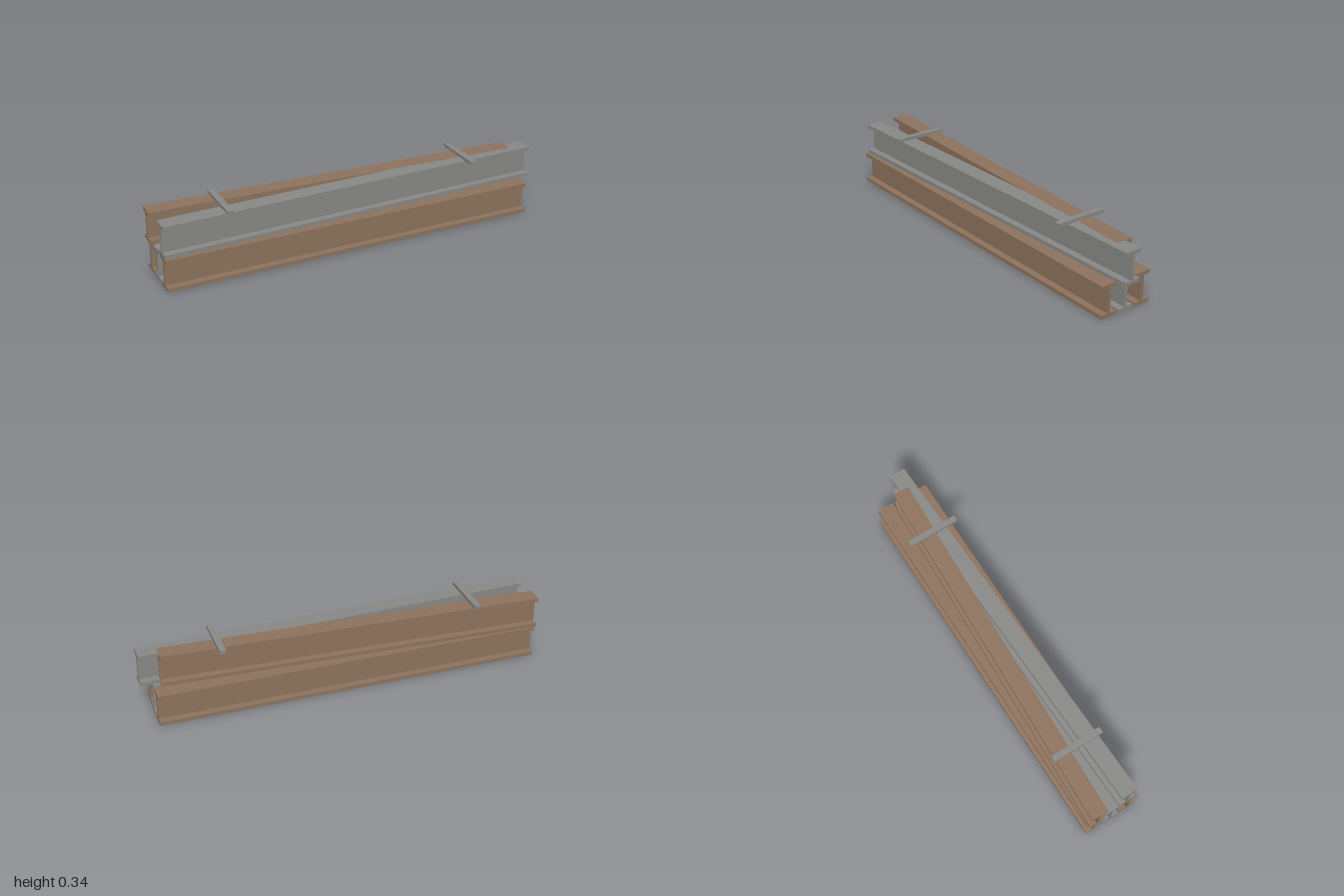
import * as THREE from 'three';

const WIDTH = 0.085, HEIGHT = 0.161, FLANGE = 0.018, WEB = 0.015;

// I-shaped cross-section, standing on y = 0
function beamProfile() {
  const w = WIDTH / 2, t = WEB / 2, top = HEIGHT - FLANGE;
  return new THREE.Shape([
    [-w, 0], [w, 0], [w, FLANGE], [t, FLANGE], [t, top], [w, top],
    [w, HEIGHT], [-w, HEIGHT], [-w, top], [-t, top], [-t, FLANGE], [-w, FLANGE],
  ].map(([x, y]) => new THREE.Vector2(x, y)));
}

// Beam between two end points given in plan as [x, z]
function makeBeam(name, material, [x0, z0], [x1, z1], y) {
  const length = Math.hypot(x1 - x0, z1 - z0);
  const geometry = new THREE.ExtrudeGeometry(beamProfile(), { depth: length, bevelEnabled: false });
  geometry.translate(0, 0, -length / 2);
  const beam = new THREE.Mesh(geometry, material);
  beam.name = name;
  beam.position.set((x0 + x1) / 2, y, (z0 + z1) / 2);
  beam.rotation.y = Math.atan2(x1 - x0, z1 - z0);
  return beam;
}

export function createModel() {
  const group = new THREE.Group();
  group.name = 'beamStack';
  const rust = new THREE.MeshStandardMaterial({ name: 'rustBrown', color: 0x8f745e });
  const steel = new THREE.MeshStandardMaterial({ name: 'steelGrey', color: 0x8a8a88 });

  // Lower layer: three parallel beams
  [['lowerFrontBeam', rust, 0.098], ['lowerMiddleBeam', steel, 0], ['lowerBackBeam', rust, -0.097]]
    .forEach(([name, material, z]) => group.add(makeBeam(name, material, [-0.987, z], [0.941, z], 0)));

  // Upper layer: two skewed beams that cross near one end
  group.add(makeBeam('upperFrontBeam', steel, [-0.986, 0.0795], [0.998, 0.0195], HEIGHT));
  group.add(makeBeam('upperBackBeam', rust, [-0.998, -0.0925], [0.902, -0.0155], HEIGHT + 0.0005));

  // Spacer battens across the top
  for (const x of [-0.665, 0.62]) {
    const batten = new THREE.Mesh(new THREE.BoxGeometry(0.031, 0.016, 0.267), steel);
    batten.name = 'batten';
    batten.position.set(x, 0.334, 0.001);
    group.add(batten);
  }
  return group;
}
